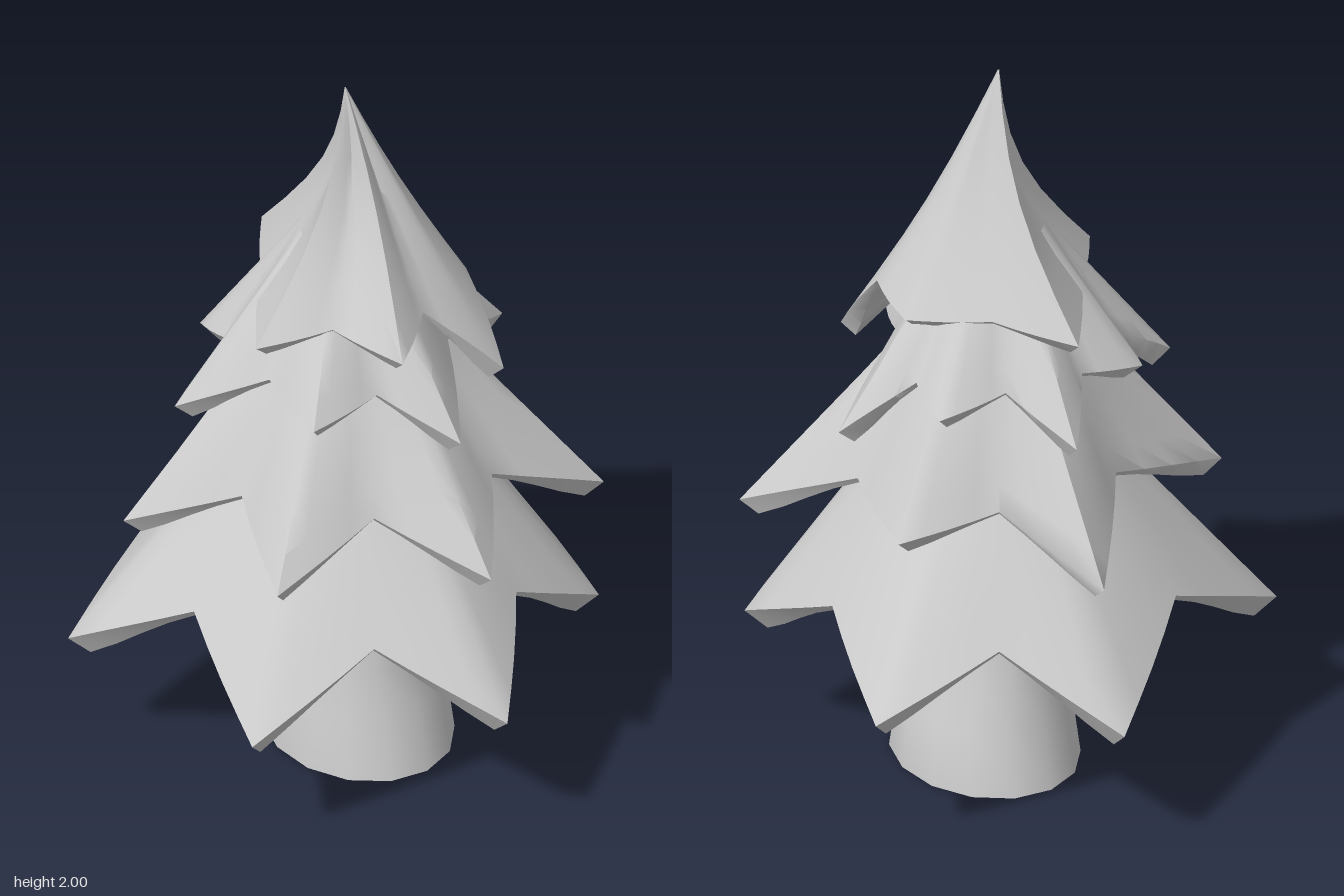
import * as THREE from 'three';
import { mergeVertices, toCreasedNormals } from 'three/addons/utils/BufferGeometryUtils.js';

const material = new THREE.MeshStandardMaterial({ color: 0xcccccc, side: THREE.DoubleSide });
const V = (x, y, z) => new THREE.Vector3(x, y, z);

// Skins a stack of closed rings (top to bottom, equal point counts)
function skin(name, rings) {
  const n = rings[0].length, pos = [], idx = [];
  rings.forEach(r => r.forEach(p => pos.push(p.x, p.y, p.z)));
  for (let r = 0; r < rings.length - 1; r++) {
    for (let i = 0; i < n; i++) {
      const a = r * n + i, b = r * n + (i + 1) % n;
      idx.push(a, b, a + n, b, b + n, a + n);
    }
  }
  const g = new THREE.BufferGeometry();
  g.setAttribute('position', new THREE.Float32BufferAttribute(pos, 3));
  g.setIndex(idx);
  const mesh = new THREE.Mesh(toCreasedNormals(mergeVertices(g, 1e-4), 1), material);
  mesh.name = name;
  return mesh;
}

// Star-shaped skirt of branches; each tip is [x, z, height, depth of the notch after it],
// and a notch is cut halfway between neighbouring tips
function branchTier({ name, top, topR, inner, innerR, lip, hollow, lean, notch, notchY, tips }) {
  const outline = tips.flatMap(([x, z, y, cut = notch], i) => {
    const [x2, z2] = tips[(i + 1) % tips.length];
    const mx = (x + x2) / 2, mz = (z + z2) / 2;
    return [V(x, y, z), V(top.x + (mx - top.x) * cut, notchY, top.z + (mz - top.z) * cut)];
  });
  const outward = p => V(p.x - top.x, 0, p.z - top.z).normalize();

  // edge, with the sides of each branch bowed out slightly
  const steps = 4;
  const edge = outline.flatMap((a, i) => Array.from({ length: steps }, (_, s) => {
    const q = a.clone().lerp(outline[(i + 1) % outline.length], s / steps);
    return q.addScaledVector(outward(q), 0.008 * Math.sin(Math.PI * s / steps));
  }));
  const circle = (y, radius) => edge.map(p => V(top.x, y, top.z).addScaledVector(outward(p), radius));

  // outer slope, hollowed midway and leaning sideways
  const start = circle(top.y, topR), rows = 6;
  const rings = Array.from({ length: rows + 1 }, (_, k) => edge.map((p, i) => {
    const mid = Math.sin(Math.PI * k / rows);
    const q = start[i].clone().lerp(p, k / rows).addScaledVector(outward(p), -hollow * mid);
    return q.add(V(lean * mid, 0, 0));
  }));

  // lip, thick at the tips and thin in the notches, then the underside
  const lower = edge.map((p, i) => {
    const w = lip * (0.65 + 0.35 * Math.cos(Math.PI * i / steps));
    return p.clone().addScaledVector(outward(p), -w).add(V(0, -w * 0.85, 0));
  });
  const end = circle(inner, innerR);
  rings.push(lower, lower.map((p, i) => p.clone().lerp(end[i], 0.5).add(V(0, 0.03, 0))), end);
  return skin(name, rings);
}

// Flared, slightly leaning, open-ended trunk
function trunk() {
  const sides = 14;
  const ring = (y, x, rx, rz) => Array.from({ length: sides }, (_, i) => {
    const t = i / sides * Math.PI * 2;
    return V(x + rx * Math.cos(t), y, 0.01 + rz * Math.sin(t));
  });
  return skin('trunk', [
    ring(0.85, 0.07, 0.14, 0.15),
    ring(0.55, 0.07, 0.15, 0.19),
    ring(0.29, 0.07, 0.175, 0.215),
    ring(0.18, 0.085, 0.22, 0.25),
    ring(0, 0.085, 0.24, 0.29),
  ]);
}

export function createModel() {
  const tree = new THREE.Group();
  tree.name = 'tree';
  tree.add(trunk());
  tree.add(branchTier({
    name: 'bottomBranches', top: V(0.06, 0.98, 0), topR: 0.24, inner: 0.72, innerR: 0.15,
    lip: 0.06, hollow: 0, lean: 0, notch: 0.82, notchY: 0.57,
    tips: [[0.04, -0.72, 0.38], [0.62, -0.43, 0.41, 0.88], [0.64, 0.3, 0.4],
      [0.15, 0.72, 0.39], [-0.47, 0.47, 0.36], [-0.66, -0.2, 0.37, 0.88]],
  }));
  tree.add(branchTier({
    name: 'lowerMiddleBranches', top: V(0.06, 1.3, 0), topR: 0.19, inner: 0.92, innerR: 0.2,
    lip: 0.05, hollow: 0, lean: 0, notch: 0.72, notchY: 0.89,
    tips: [[0.05, -0.62, 0.77], [0.47, -0.26, 0.83, 0.78], [0.66, 0.29, 0.74],
      [0.16, 0.61, 0.77], [-0.37, 0.42, 0.77], [-0.55, -0.1, 0.76]],
  }));
  tree.add(branchTier({
    name: 'upperMiddleBranches', top: V(0.05, 1.56, 0), topR: 0.12, inner: 1.22, innerR: 0.15,
    lip: 0.05, hollow: 0, lean: 0, notch: 0.75, notchY: 1.22,
    tips: [[0.06, -0.48, 1.12], [0.36, -0.28, 1.18], [0.55, -0.07, 1.09], [0.15, 0.46, 1.11],
      [-0.22, 0.34, 1.19], [-0.42, -0.06, 1.1], [-0.24, -0.26, 1.19]],
  }));
  tree.add(branchTier({
    name: 'crown', top: V(0.04, 2, 0.02), topR: 0.002, inner: 1.45, innerR: 0.08,
    lip: 0.04, hollow: 0.045, lean: 0.03, notch: 0.97, notchY: 1.4,
    tips: [[0.01, -0.39, 1.37], [0.35, -0.06, 1.37], [0.36, 0.3, 1.19, 0.72],
      [0.02, 0.38, 1.35, 0.8], [-0.29, 0.15, 1.36]],
  }));
  return tree;
}
